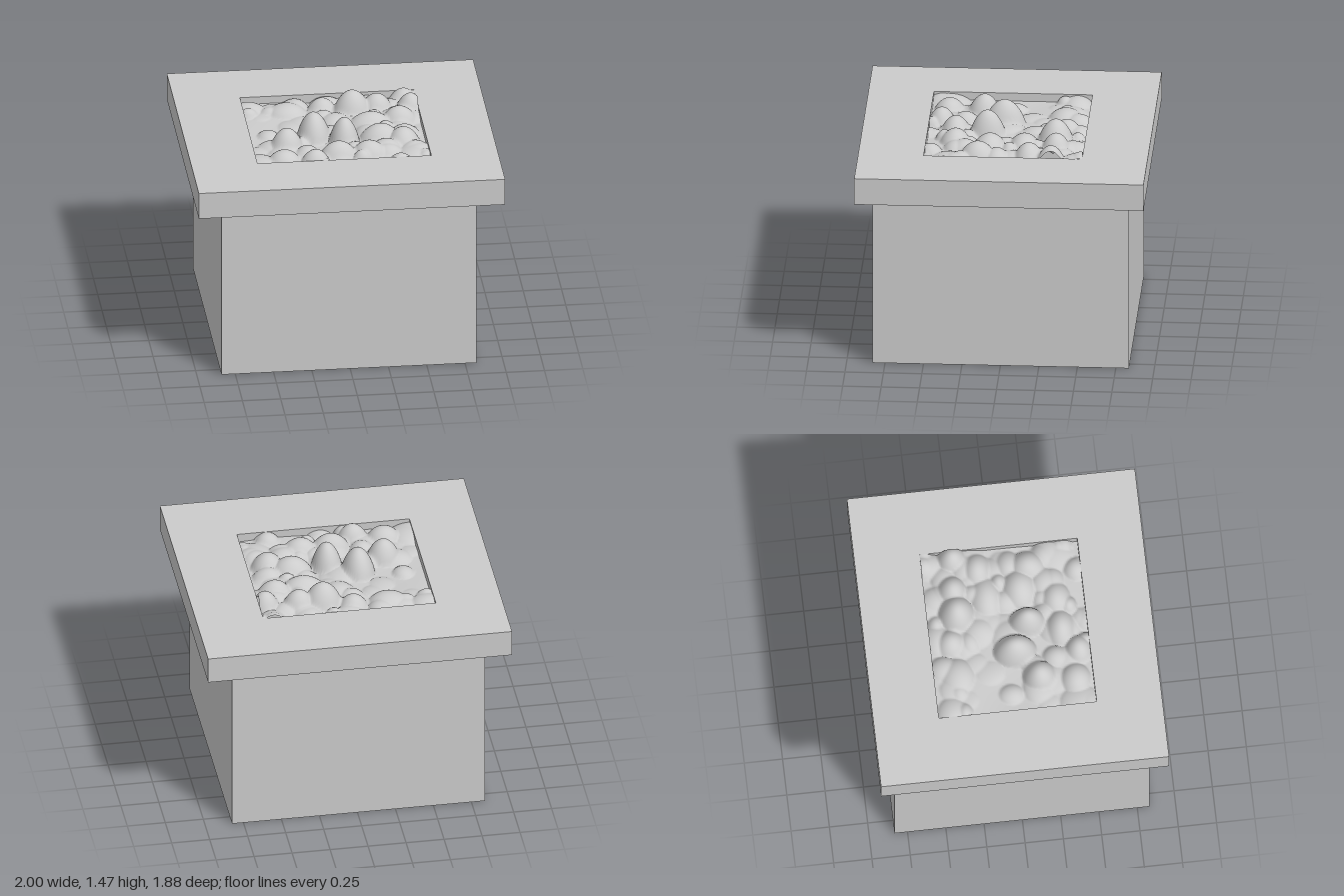
import * as THREE from 'three';

const MATERIAL = new THREE.MeshStandardMaterial({ color: 0xcccccc, side: THREE.DoubleSide });

// Rectangles in plan: x0, x1, z0, z1
const SLAB = [-1, 1, -0.94, 0.94];
const BODY = [-0.84, 0.825, -0.835, 0.83];
const PIT = [-0.57, 0.565, -0.515, 0.515];
const SLAB_BOTTOM = 1.17, SLAB_TOP = 1.35;

function part(name, geometry) {
  const mesh = new THREE.Mesh(geometry, MATERIAL);
  mesh.name = name;
  return mesh;
}

// Four upright thin walls around a rectangle; inward turns them to face its middle
function walls(name, [x0, x1, z0, z1], y0, y1, inward = false) {
  const group = new THREE.Group();
  group.name = name;
  const w = x1 - x0, d = z1 - z0, cx = (x0 + x1) / 2, cz = (z0 + z1) / 2;
  for (let i = 0; i < 4; i++) {
    const a = i * Math.PI / 2;
    const side = part(name + 'Side', new THREE.PlaneGeometry(i % 2 ? d : w, y1 - y0));
    side.position.set(cx + Math.sin(a) * w / 2, (y0 + y1) / 2, cz + Math.cos(a) * d / 2);
    side.rotation.y = a + (inward ? Math.PI : 0);
    group.add(side);
  }
  return group;
}

// Flat horizontal ring between two rectangles
function ring(name, outer, inner, y, facing) {
  const corners = ([x0, x1, z0, z1]) =>
    [[x0, z0], [x1, z0], [x1, z1], [x0, z1]].map(([x, z]) => new THREE.Vector2(x, -facing * z));
  const shape = new THREE.Shape(corners(outer));
  shape.holes.push(new THREE.Path(corners(inner)));
  const mesh = part(name, new THREE.ShapeGeometry(shape));
  mesh.rotation.x = -facing * Math.PI / 2;
  mesh.position.y = y;
  return mesh;
}

function seeded(seed) {
  return () => (seed = (seed * 16807) % 2147483647) / 2147483647;
}

// Lumpy fill: large clods at chosen spots, many small ones scattered between
function soil() {
  const [x0, x1, z0, z1] = PIT;
  // x, z, radius x, radius z, top height
  const clods = [
    [-0.15, 0.03, 0.11, 0.14, 1.47], [0.04, 0.13, 0.1, 0.12, 1.47],
    [-0.34, 0.17, 0.11, 0.11, 1.43], [0.14, -0.32, 0.13, 0.12, 1.455],
    [-0.18, 0.44, 0.1, 0.09, 1.395], [0.3, -0.33, 0.11, 0.1, 1.42],
    [0.52, -0.31, 0.1, 0.1, 1.42], [0.43, -0.16, 0.12, 0.1, 1.4],
    [-0.02, 0.34, 0.13, 0.1, 1.4], [0.28, 0.1, 0.14, 0.12, 1.4],
    [0.42, 0.17, 0.11, 0.12, 1.4], [0.18, 0.33, 0.12, 0.1, 1.39],
    [-0.28, -0.36, 0.13, 0.11, 1.36], [-0.05, -0.38, 0.1, 0.1, 1.38],
    [-0.38, 0.4, 0.11, 0.1, 1.38], [0.24, -0.12, 0.15, 0.11, 1.385],
  ];
  const rand = seeded(41);
  for (let i = 0; i < 90; i++) {
    const r = 0.06 + 0.06 * rand();
    const x = x0 + rand() * (x1 - x0), z = z0 + rand() * (z1 - z0);
    clods.push([x, z, r, r * (0.8 + 0.4 * rand()), 1.315 + 0.045 * rand() + 0.02 * x]);
  }
  const geometry = new THREE.PlaneGeometry(x1 - x0, z1 - z0, 110, 100);
  geometry.rotateX(-Math.PI / 2);
  geometry.translate((x0 + x1) / 2, 0, (z0 + z1) / 2);
  const p = geometry.attributes.position;
  for (let i = 0; i < p.count; i++) {
    const x = p.getX(i), z = p.getZ(i);
    const base = 1.295 + 0.01 * Math.sin(9 * x + 2) * Math.cos(8 * z);
    let y = base;
    for (const [cx, cz, rx, rz, top] of clods) {
      const d = ((x - cx) / rx) ** 2 + ((z - cz) / rz) ** 2;
      if (d < 1) y = Math.max(y, base + (top - base) * Math.pow(1 - d, 0.8));
    }
    p.setY(i, y);
  }
  geometry.computeVertexNormals();
  return part('soil', geometry);
}

export function createModel() {
  const model = new THREE.Group();
  model.name = 'planter';
  // Thin-walled body, open underneath
  model.add(walls('body', BODY, 0, SLAB_BOTTOM));
  // Overhanging rim slab
  model.add(
    walls('rim', SLAB, SLAB_BOTTOM, SLAB_TOP),
    ring('rimTop', SLAB, PIT, SLAB_TOP, 1),
    ring('rimUnderside', SLAB, BODY, SLAB_BOTTOM, -1),
  );
  // Opening and its fill
  model.add(walls('opening', PIT, 1.24, SLAB_TOP, true), soil());
  return model;
}
